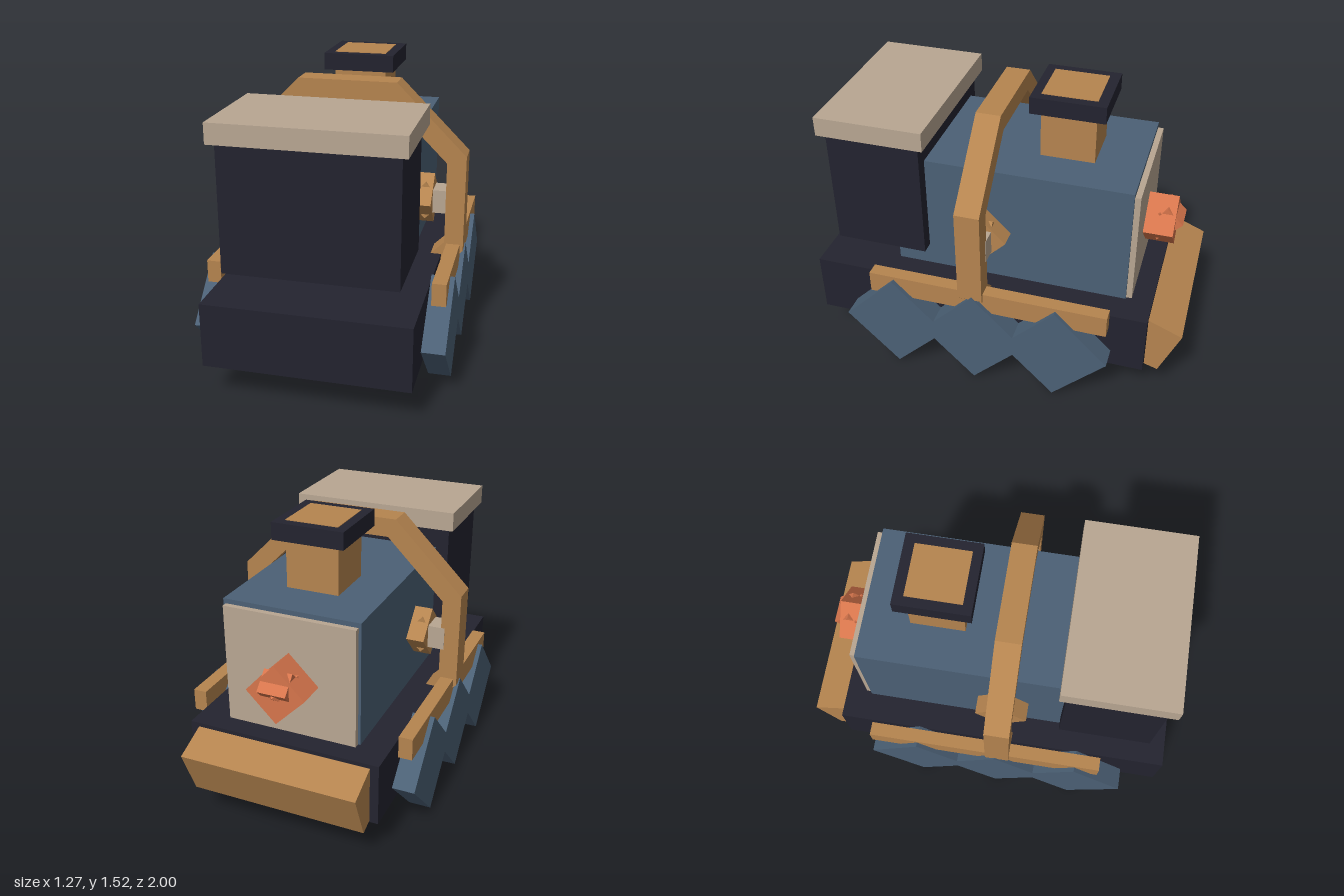
import * as THREE from 'three';

const mat = (name, color) => {
  const m = new THREE.MeshStandardMaterial({ color });
  m.name = name;
  return m;
};

export function createModel() {
  const dark = mat('charcoal', 0x23232f);
  const blue = mat('slateBlue', 0x4b6075);
  const tan = mat('tan', 0xb5844f);
  const beige = mat('beige', 0xb8a692);
  const orange = mat('orange', 0xd6754c);
  const model = new THREE.Group();
  model.name = 'steamEngine';

  const add = (name, geometry, material, x = 0, y = 0, z = 0, parent = model) => {
    const mesh = new THREE.Mesh(geometry, material);
    mesh.name = name;
    mesh.position.set(x, y, z);
    parent.add(mesh);
    return mesh;
  };
  // box given by its limits on each axis
  const box = (name, material, [x0, x1], [y0, y1], [z0, z1]) =>
    add(name, new THREE.BoxGeometry(x1 - x0, y1 - y0, z1 - z0), material,
      (x0 + x1) / 2, (y0 + y1) / 2, (z0 + z1) / 2);
  // square prism standing on one corner, axis along z
  const diamond = (radius, depth) => {
    const side = radius * Math.SQRT2;
    return new THREE.BoxGeometry(side, side, depth).rotateZ(Math.PI / 4);
  };

  // body
  box('chassis', dark, [-0.515, 0.515], [0.183, 0.515], [-0.82, 1]);
  box('boiler', blue, [-0.363, 0.363], [0.5, 1.17], [-0.68, 0.58]);
  box('boilerPlate', beige, [-0.35, 0.35], [0.515, 1.145], [-0.71, -0.675]);
  box('cab', dark, [-0.433, 0.433], [0.64, 1.29], [0.4, 0.9]);
  box('cabRoof', beige, [-0.465, 0.465], [1.287, 1.39], [0.363, 0.937]);

  // chimney with a square rim around its top
  box('chimney', tan, [-0.14, 0.14], [1.15, 1.523], [-0.435, -0.15]);
  box('chimneyRim', dark, [-0.19, 0.19], [1.43, 1.52], [-0.488, -0.102]);

  // tilted guard at the end of the chassis
  const guardShape = new THREE.Shape([
    [0.7, 0.545], [0.7, 0.09], [0.892, 0.167], [0.998, 0.42],
  ].map(([z, y]) => new THREE.Vector2(z, Math.max(y, 0.0))));
  guardShape.curves.length = 0;
  guardShape.setFromPoints([
    [0.78, 0.2], [0.82, 0.19], [0.892, 0.167], [0.998, 0.42], [0.82, 0.494], [0.78, 0.494],
  ].map(([z, y]) => new THREE.Vector2(z, y)));
  const guard = new THREE.ExtrudeGeometry(guardShape, { depth: 0.94, bevelEnabled: false });
  guard.translate(0, 0, -0.47).rotateY(Math.PI / 2);
  add('endGuard', guard, tan);

  // octagonal hoop running round the whole engine
  const octagon = (inradius) => Array.from({ length: 8 }, (_, i) => {
    const a = (i + 0.5) * Math.PI / 4, r = inradius / Math.cos(Math.PI / 8);
    return new THREE.Vector2(r * Math.cos(a), r * Math.sin(a));
  });
  const ring = new THREE.Shape(octagon(0.63));
  ring.holes.push(new THREE.Path(octagon(0.53)));
  add('hoop', new THREE.ExtrudeGeometry(ring, { depth: 0.13, bevelEnabled: false }),
    tan, 0, 0.805, 0.02);

  for (const side of [-1, 1]) {
    const label = side > 0 ? 'left' : 'right';
    // wheels and coupling rod
    for (const z of [0.515, 0.075, -0.365]) {
      add(label + 'Wheel', diamond(0.281, 0.118).rotateY(Math.PI / 2), blue,
        side * 0.578, 0.281, z);
    }
    add(label + 'CouplingRod', new THREE.BoxGeometry(0.072, 0.118, 1.28), tan,
      side * 0.577, 0.519, 0.01);

    // faceted side valve with a square stub
    const valve = new THREE.Group();
    valve.name = label + 'Valve';
    valve.position.set(side * 0.36, 0.808, 0.08);
    model.add(valve);
    add('valveBody', diamond(0.137, 0.15).rotateY(Math.PI / 2), tan, side * 0.025, 0, 0, valve);
    add('valveWedge', diamond(0.1, 0.12), tan, side * 0.06, 0, 0, valve);
    add('valveStub', new THREE.BoxGeometry(0.15, 0.125, 0.125), beige, side * 0.115, 0, 0, valve);
  }

  // faceted lamp on the boiler plate
  const lamp = new THREE.Group();
  lamp.name = 'lamp';
  lamp.position.set(0, 0.805, -0.71);
  model.add(lamp);
  add('lampBody', diamond(0.155, 0.17), orange, 0, 0, -0.07, lamp);
  const wedge = new THREE.BoxGeometry(0.15, 0.12, 0.12).rotateX(Math.PI / 4);
  add('lampWedge', wedge, orange, 0, 0.025, -0.11, lamp);
  add('lampSpike', new THREE.OctahedronGeometry(0.12).rotateZ(Math.PI / 4), orange,
    0, 0, -0.07, lamp);

  return model;
}
